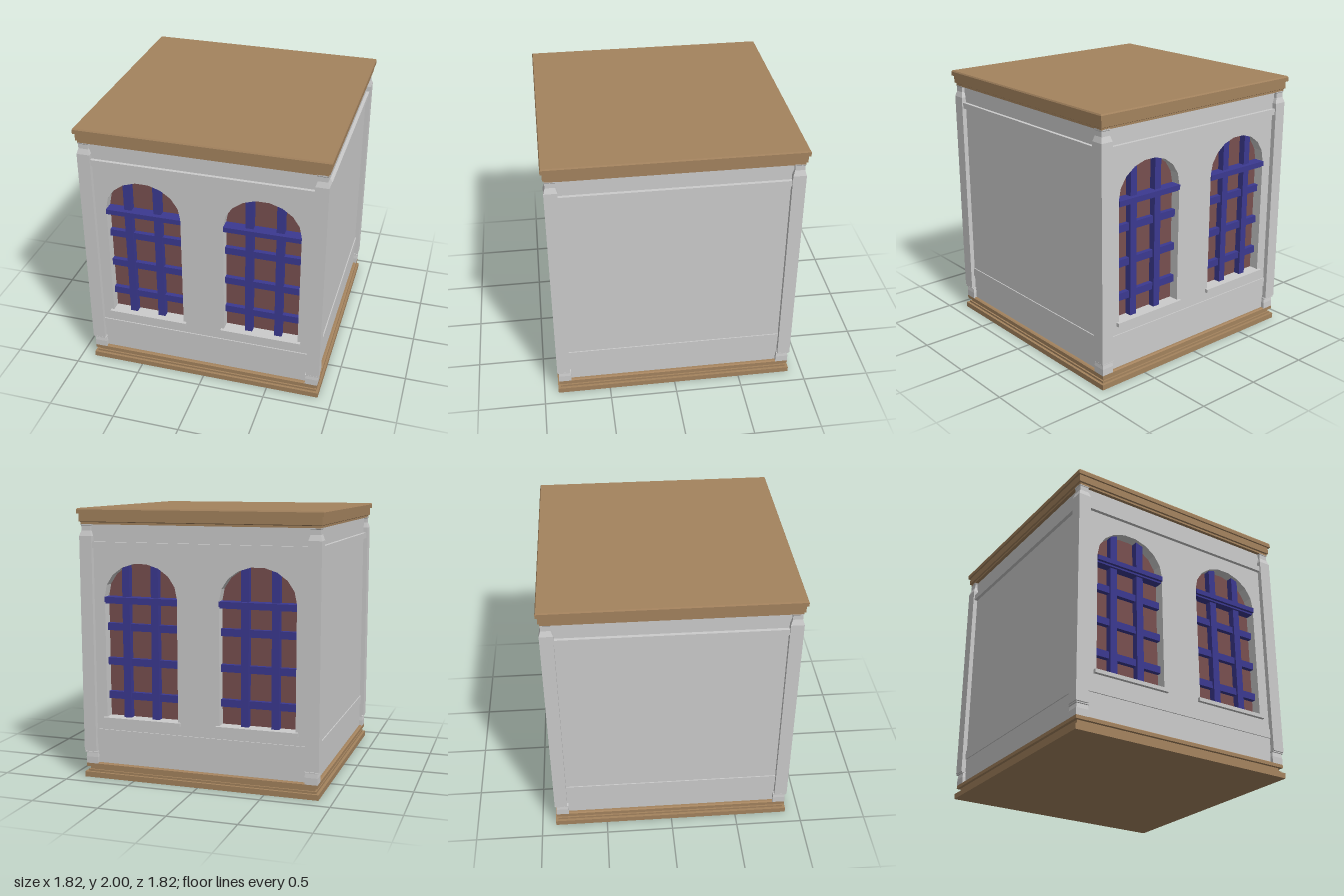
import * as THREE from 'three';

const grey = new THREE.MeshStandardMaterial({ color: 0xcccccc, flatShading: true });
const wood = new THREE.MeshStandardMaterial({ color: 0xa4835e, flatShading: true });
const blue = new THREE.MeshStandardMaterial({ color: 0x3b3990, flatShading: true });
const maroon = new THREE.MeshStandardMaterial({ color: 0x784f4f, flatShading: true });

const WALL = 0.86; // distance of wall faces from the centre

// Box given by its limits on each axis
function block(parent, name, mat, [x0, x1], [y0, y1], [z0, z1]) {
  const m = new THREE.Mesh(new THREE.BoxGeometry(x1 - x0, y1 - y0, z1 - z0), mat);
  m.position.set((x0 + x1) / 2, (y0 + y1) / 2, (z0 + z1) / 2);
  m.name = name;
  parent.add(m);
  return m;
}

// Square stack of steps: rows of [half width, y]
function squareStack(name, mat, rows) {
  const r = Math.SQRT2;
  const pts = rows.map(([h, y]) => new THREE.Vector2(h * r, y));
  const g = new THREE.LatheGeometry(
    [new THREE.Vector2(0, rows[0][1]), ...pts, new THREE.Vector2(0, rows.at(-1)[1])], 4, Math.PI / 4);
  const m = new THREE.Mesh(g, mat);
  m.name = name;
  return m;
}

// Arched opening with a nine-sided elliptical head
function archPath(cx) {
  const p = new THREE.Path();
  p.moveTo(cx - 0.28, 0.465);
  p.lineTo(cx + 0.28, 0.465);
  for (let i = 0; i <= 9; i++) {
    const a = (i / 9) * Math.PI;
    p.lineTo(cx + 0.28 * Math.cos(a), 1.365 + 0.245 * Math.sin(a));
  }
  p.closePath();
  return p;
}

function createWindow(side) {
  const w = new THREE.Group();
  w.name = 'window';
  const cx = side * 0.438, glass = WALL - 0.075;
  const span = [cx - 0.285, cx + 0.285];
  block(w, 'glass', maroon, [cx - 0.3, cx + 0.3], [0.45, 1.63], [glass - 0.01, glass]);
  for (const off of [-0.098, 0.125]) {
    const x = cx + side * off;
    block(w, 'verticalBar', blue, [x - 0.028, x + 0.028], [0.46, 1.61], [glass, glass + 0.05]);
  }
  for (const y of [0.627, 0.88, 1.138])
    block(w, 'crossBar', blue, span, [y - 0.027, y + 0.027], [glass, glass + 0.035]);
  block(w, 'transom', blue, [cx - 0.28, cx + 0.28], [1.325, 1.362], [glass, glass + 0.085]);
  block(w, 'transomLip', blue, span, [1.312, 1.325], [glass, glass + 0.065]);
  block(w, 'sill', grey, [cx - 0.302, cx + 0.302], [0.438, 0.466], [glass, WALL + 0.025]);
  return w;
}

// Raised mouldings shared by all four walls
function addMouldings(wall) {
  block(wall, 'friezeBand', grey, [-0.83, 0.83], [1.715, 1.76], [WALL - 0.02, 0.885]);
  block(wall, 'skirtingBand', grey, [-0.83, 0.83], [0.3, 0.37], [WALL - 0.02, WALL + 0.008]);
}

function createWindowWall() {
  const wall = new THREE.Group();
  wall.name = 'windowWall';
  const s = new THREE.Shape();
  s.moveTo(-0.85, 0.1);
  s.lineTo(0.85, 0.1);
  s.lineTo(0.85, 1.89);
  s.lineTo(-0.85, 1.89);
  s.closePath();
  s.holes.push(archPath(-0.438), archPath(0.438));
  const panel = new THREE.Mesh(new THREE.ExtrudeGeometry(s, { depth: 0.1, bevelEnabled: false }), grey);
  panel.position.z = WALL - 0.1;
  panel.name = 'archedPanel';
  wall.add(panel, createWindow(-1), createWindow(1));
  addMouldings(wall);
  return wall;
}

function createPlainWall() {
  const wall = new THREE.Group();
  wall.name = 'plainWall';
  block(wall, 'panel', grey, [-0.85, 0.85], [0.1, 1.89], [WALL - 0.1, WALL]);
  addMouldings(wall);
  return wall;
}

// Corner post with foot, groove, shaft and tapered neck
function createPost() {
  const post = new THREE.Group();
  post.name = 'cornerPost';
  const foot = squareStack('foot', grey, [[0.047, 0.105], [0.047, 0.155], [0.043, 0.185], [0.043, 0.2]]);
  foot.position.set(0.838, 0, 0.838);
  const ring = squareStack('ring', grey, [[0.05, 0.188], [0.05, 0.196]]);
  ring.position.set(0.841, 0, 0.841);
  const shaft = squareStack('shaft', grey, [
    [0.0475, 0.2], [0.0475, 1.8], [0.035, 1.84], [0.035, 1.875], [0.038, 1.88], [0.038, 1.89]]);
  shaft.position.set(0.847, 0, 0.847);
  post.add(foot, ring, shaft);
  return post;
}

export function createModel() {
  const model = new THREE.Group();
  model.name = 'buildingStorey';

  // Wooden base and cornice
  model.add(squareStack('base', wood, [
    [0.895, 0], [0.895, 0.04], [0.875, 0.04], [0.875, 0.055], [0.863, 0.055],
    [0.863, 0.08], [0.885, 0.08], [0.885, 0.105], [0.875, 0.112]]));
  model.add(squareStack('cornice', wood, [
    [0.885, 1.885], [0.885, 1.9], [0.895, 1.905], [0.895, 1.96], [0.908, 1.96],
    [0.908, 1.99], [0.902, 2]]));

  // Four walls and posts around the centre
  for (let i = 0; i < 4; i++) {
    const wall = i % 2 ? createPlainWall() : createWindowWall();
    const post = createPost();
    wall.rotation.y = post.rotation.y = (i * Math.PI) / 2;
    model.add(wall, post);
  }
  return model;
}
